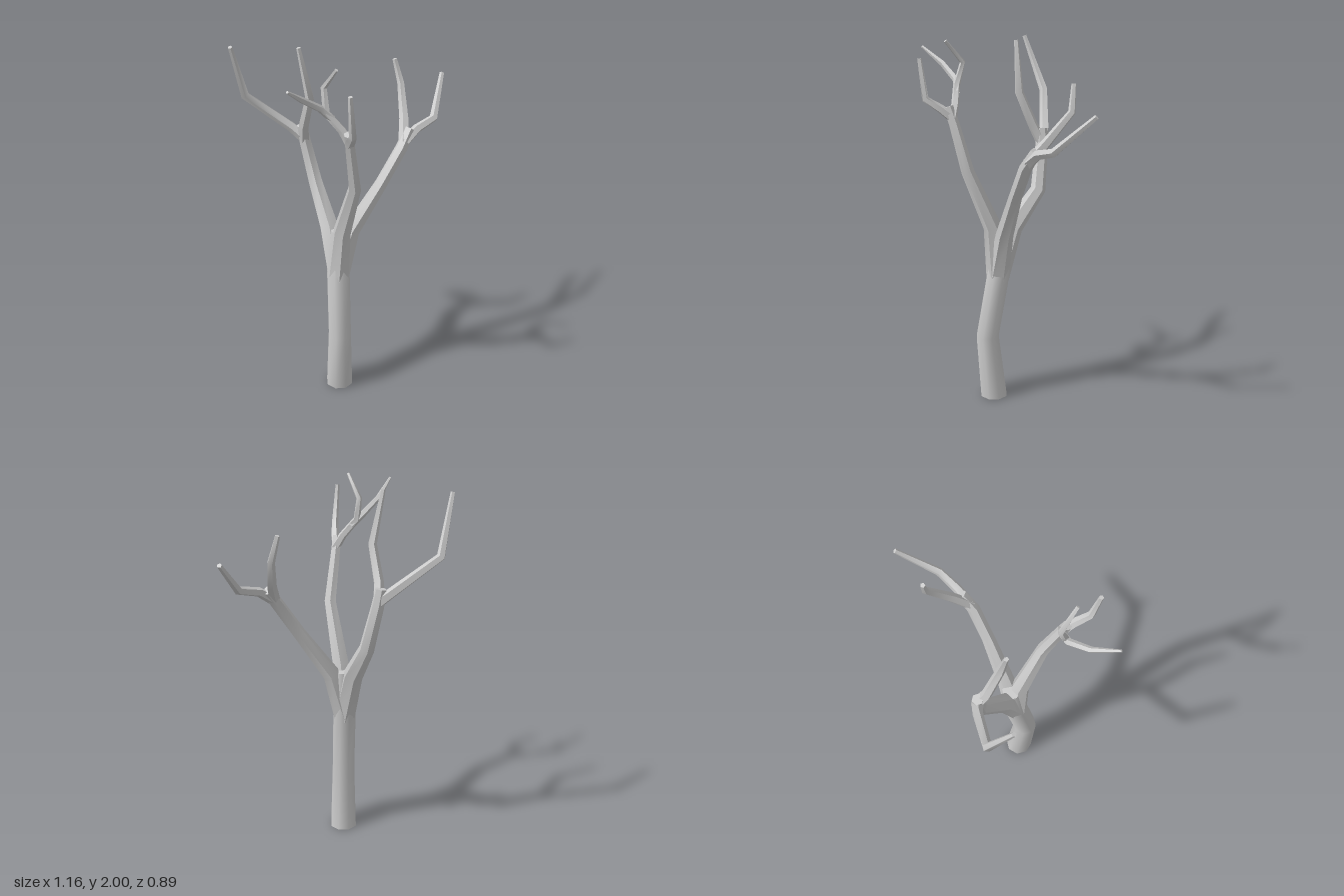
import * as THREE from 'three';
import { toCreasedNormals } from 'three/addons/utils/BufferGeometryUtils.js';

const bark = new THREE.MeshStandardMaterial({ color: 0xcccccc, side: THREE.DoubleSide });

// Tapered faceted tube through knots [x, y, z, radius], capped at its far end
function limbGeometry(knots, sides, level) {
  const pts = knots.map(k => new THREE.Vector3(k[0], k[1], k[2]));
  const up = new THREE.Vector3(0, 1, 0);
  const pos = [], idx = [], last = pts.length - 1;
  const side = new THREE.Vector3(1, 0, 0);
  pts.forEach((p, i) => {
    const before = p.clone().sub(pts[Math.max(i - 1, 0)]).normalize();
    const after = pts[Math.min(i + 1, last)].clone().sub(p).normalize();
    const t = level ? up : before.add(after).normalize();
    // carry the sideways axis along the path so the tube does not twist
    side.addScaledVector(t, -side.dot(t)).normalize();
    const other = new THREE.Vector3().crossVectors(side, t);
    for (let j = 0; j < sides; j++) {
      const a = (j + 0.5) / sides * Math.PI * 2, r = knots[i][3];
      const v = p.clone().addScaledVector(side, Math.cos(a) * r).addScaledVector(other, Math.sin(a) * r);
      pos.push(v.x, v.y, v.z);
    }
  });
  for (let i = 0; i < last; i++) {
    for (let j = 0; j < sides; j++) {
      const a = i * sides + j, b = i * sides + (j + 1) % sides;
      idx.push(a, a + sides, b, b, a + sides, b + sides);
    }
  }
  for (let j = 1; j < sides - 1; j++) idx.push(last * sides, last * sides + j + 1, last * sides + j);
  const g = new THREE.BufferGeometry();
  g.setAttribute('position', new THREE.Float32BufferAttribute(pos, 3));
  g.setIndex(idx);
  return toCreasedNormals(g, 0.9);
}

export function createModel() {
  const tree = new THREE.Group();
  tree.name = 'bareTree';
  const add = (name, sides, knots, level = false) => {
    const mesh = new THREE.Mesh(limbGeometry(knots, sides, level), bark);
    mesh.name = name;
    tree.add(mesh);
  };

  // Trunk, open underneath
  add('trunk', 8, [
    [-0.037, 0, 0.05, 0.077], [-0.037, 0.36, 0.085, 0.066],
    [-0.04, 0.72, 0.025, 0.066], [-0.03, 0.98, 0.0, 0.05],
  ], true);

  // Three main limbs, all starting inside the trunk
  const fork = [-0.04, 0.7, 0.028, 0.062];
  add('frontLimb', 6, [
    fork, [-0.02, 1.0, 0.055, 0.05], [0.035, 1.32, 0.185, 0.035],
    [0.005, 1.57, 0.255, 0.028], [-0.005, 1.66, 0.285, 0.026],
  ]);
  add('leftLimb', 6, [
    fork, [0.035, 0.97, -0.01, 0.048], [0.2, 1.22, -0.065, 0.035],
    [0.31, 1.4, -0.115, 0.034], [0.36, 1.49, -0.165, 0.03],
  ]);
  add('rearLimb', 6, [
    fork, [-0.085, 0.98, -0.055, 0.055], [-0.148, 1.18, -0.195, 0.042],
    [-0.2, 1.42, -0.215, 0.035], [-0.215, 1.51, -0.215, 0.03],
  ]);

  // Twigs of the front limb
  add('frontTwig', 5, [
    [0.0, 1.6, 0.265, 0.026], [0.005, 1.65, 0.325, 0.024],
    [0.005, 1.7, 0.405, 0.02], [-0.01, 1.91, 0.432, 0.012],
  ]);
  add('frontInnerTwig', 5, [
    [0.005, 1.6, 0.265, 0.026], [-0.035, 1.67, 0.25, 0.022], [-0.11, 1.76, 0.245, 0.02],
    [-0.12, 1.88, 0.212, 0.016], [-0.065, 1.995, 0.3, 0.009],
  ]);
  add('frontOuterTwig', 5, [
    [-0.08, 1.725, 0.245, 0.02], [-0.14, 1.785, 0.25, 0.019],
    [-0.23, 1.86, 0.325, 0.016], [-0.3, 1.945, 0.44, 0.007],
  ]);

  // Twigs of the left limb
  add('leftInnerTwig', 5, [
    [0.325, 1.425, -0.125, 0.03], [0.335, 1.53, -0.215, 0.026],
    [0.33, 1.685, -0.34, 0.02], [0.295, 1.82, -0.35, 0.013],
  ]);
  add('leftOuterTwig', 5, [
    [0.33, 1.43, -0.13, 0.03], [0.4, 1.485, -0.175, 0.026],
    [0.5, 1.515, -0.245, 0.023], [0.57, 1.7, -0.44, 0.013],
  ]);

  // Twigs of the rear limb
  add('rearInnerTwig', 5, [
    [-0.205, 1.43, -0.215, 0.032], [-0.205, 1.53, -0.165, 0.028],
    [-0.175, 1.71, -0.09, 0.024], [-0.228, 1.985, -0.073, 0.012],
  ]);
  add('rearOuterTwig', 5, [
    [-0.205, 1.44, -0.215, 0.032], [-0.27, 1.495, -0.232, 0.028],
    [-0.51, 1.68, -0.235, 0.024], [-0.57, 1.98, -0.125, 0.012],
  ]);
  return tree;
}
